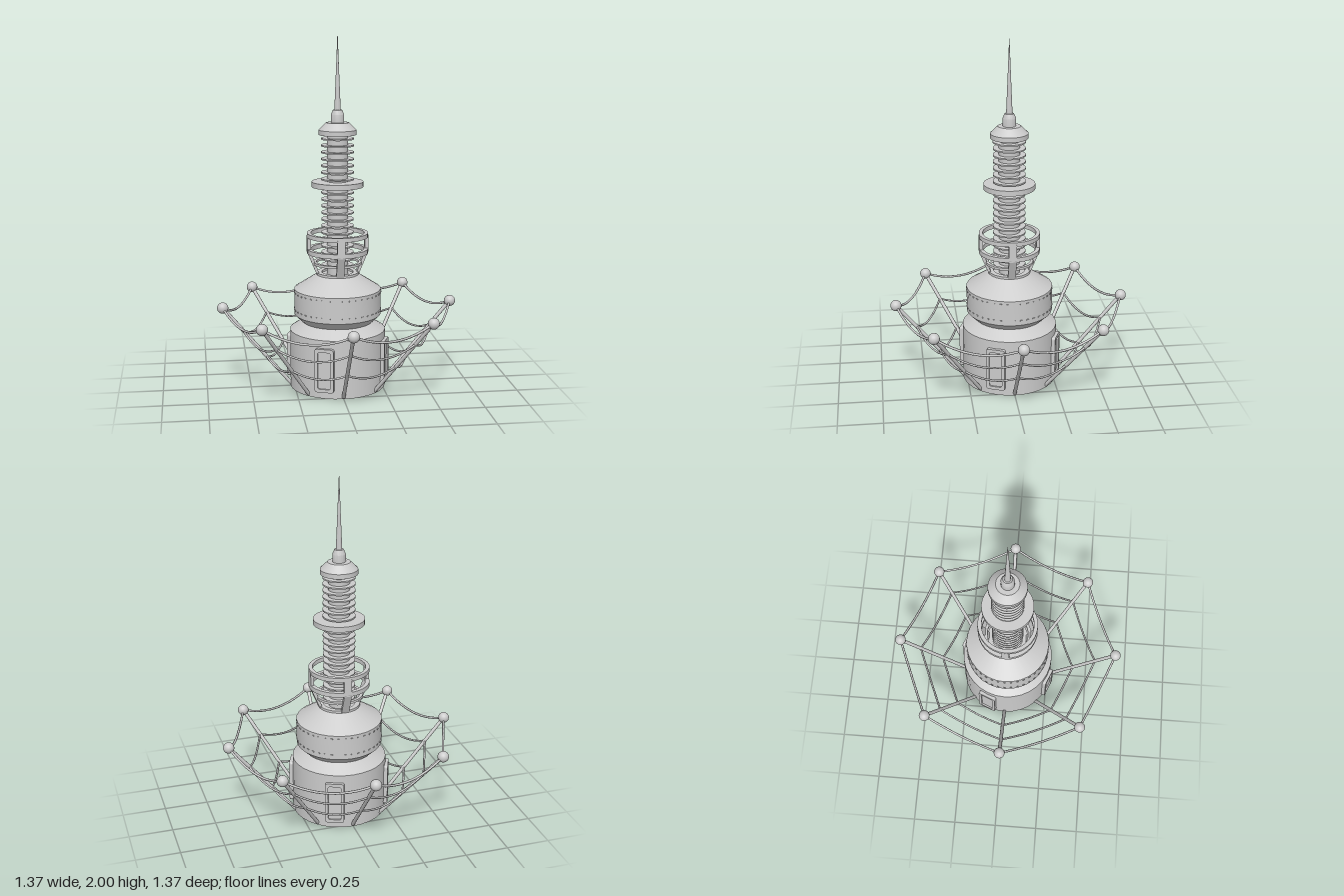
import * as THREE from 'three';
import { toCreasedNormals } from 'three/addons/utils/BufferGeometryUtils.js';

const metal = new THREE.MeshStandardMaterial({ color: 0xcccccc, side: THREE.DoubleSide });

function add(parent, name, geometry, x = 0, y = 0, z = 0) {
  const mesh = new THREE.Mesh(geometry, metal);
  mesh.name = name;
  mesh.position.set(x, y, z);
  parent.add(mesh);
  return mesh;
}

// Turned part from [radius, height] pairs, with hard edges kept sharp
function turned(parent, name, points, sides = 32) {
  const g = new THREE.LatheGeometry(points.map(([r, y]) => new THREE.Vector2(r, y)), sides);
  return add(parent, name, toCreasedNormals(g, 0.4));
}

const polar = (r, y, a) => new THREE.Vector3(r * Math.sin(a), y, r * Math.cos(a));

function roundedRect(path, w, h, r) {
  const x = w / 2, y = h / 2;
  path.moveTo(-x + r, -y);
  path.lineTo(x - r, -y);
  path.quadraticCurveTo(x, -y, x, -y + r);
  path.lineTo(x, y - r);
  path.quadraticCurveTo(x, y, x - r, y);
  path.lineTo(-x + r, y);
  path.quadraticCurveTo(-x, y, -x, y - r);
  path.lineTo(-x, -y + r);
  path.quadraticCurveTo(-x, -y, -x + r, -y);
  return path;
}

// Straight round bar between two points
function bar(parent, name, a, b, radius) {
  return add(parent, name, new THREE.TubeGeometry(new THREE.LineCurve3(a, b), 1, radius, 10));
}

export function createModel() {
  const model = new THREE.Group();
  model.name = 'antennaTower';

  // Base and drum, hollow underneath with a recessed floor
  turned(model, 'base', [[0, 0.1], [0.262, 0.1], [0.262, 0], [0.272, 0], [0.272, 0.335], [0.2, 0.382]]);
  turned(model, 'drum', [[0.2, 0.38], [0.247, 0.425], [0.247, 0.572], [0.118, 0.655], [0, 0.655]]);

  // Two rows of rivets round the drum
  const rivetCount = 40;
  const rivets = new THREE.InstancedMesh(new THREE.BoxGeometry(0.012, 0.006, 0.006), metal, rivetCount * 2);
  rivets.name = 'rivets';
  const pose = new THREE.Object3D();
  for (let i = 0; i < rivetCount * 2; i++) {
    const a = ((i >> 1) / rivetCount) * Math.PI * 2;
    pose.position.copy(polar(0.247, i % 2 ? 0.553 : 0.453, a));
    pose.rotation.y = a;
    pose.updateMatrix();
    rivets.setMatrixAt(i, pose.matrix);
  }
  model.add(rivets);

  // Four framed hatches round the base
  const frame = roundedRect(new THREE.Shape(), 0.108, 0.25, 0.014);
  frame.holes.push(roundedRect(new THREE.Path(), 0.074, 0.212, 0.012));
  const frameGeometry = new THREE.ExtrudeGeometry(frame, { depth: 0.07, bevelEnabled: false, curveSegments: 4 });
  for (let i = 0; i < 4; i++) {
    const hatch = new THREE.Group();
    hatch.name = 'hatch';
    hatch.rotation.y = -Math.PI / 8 + i * Math.PI / 2;
    add(hatch, 'hatchFrame', frameGeometry, 0, 0.165, 0.219);
    add(hatch, 'hatchPanel', new THREE.BoxGeometry(0.076, 0.214, 0.052), 0, 0.165, 0.254);
    model.add(hatch);
  }

  // Finned mast with a wide disc half way up
  add(model, 'mast', new THREE.CylinderGeometry(0.06, 0.06, 0.81, 24), 0, 1.055, 0);
  for (let i = 0; i < 20; i++) {
    add(model, 'fin', new THREE.CylinderGeometry(0.092, 0.092, 0.008, 28), 0, 1.428 - i * 0.038, 0);
  }
  add(model, 'disc', new THREE.CylinderGeometry(0.146, 0.146, 0.03, 32), 0, 1.172, 0);

  // Cage: rings and four bent struts
  const ring = (name, r, y, width, height) => turned(model, name, [
    [r - width, y - height / 2], [r, y - height / 2], [r, y + height / 2],
    [r - width, y + height / 2], [r - width, y - height / 2]]);
  ring('cageTopRing', 0.174, 0.882, 0.022, 0.024);
  ring('cageMiddleRing', 0.174, 0.79, 0.024, 0.026);
  ring('cageLowerRing', 0.138, 0.72, 0.018, 0.014);
  ring('cageFootRing', 0.12, 0.66, 0.03, 0.014);
  const side = new THREE.Shape([[0.104, 0.655], [0.12, 0.655], [0.174, 0.785], [0.174, 0.88], [0.154, 0.88],
    [0.154, 0.79]].map(([x, y]) => new THREE.Vector2(x, y)));
  const strutGeometry = new THREE.ExtrudeGeometry(side, { depth: 0.044, bevelEnabled: false }).translate(0, 0, -0.022);
  for (let i = 0; i < 4; i++) {
    add(model, 'cageStrut', strutGeometry).rotation.y = i * Math.PI / 2;
  }

  // Cap, knob and spire
  turned(model, 'cap', [[0, 1.45], [0.106, 1.45], [0.106, 1.477], [0.064, 1.518], [0, 1.518]]);
  turned(model, 'knob', [[0.037, 1.515], [0.037, 1.562], [0.026, 1.588], [0, 1.588]], 20);
  turned(model, 'spire', [[0.018, 1.585], [0.009, 1.8], [0.001, 2]], 12);

  // Eight outriggers with ball tips
  const arms = 8;
  const onArm = (r, i) => polar(r, 0.01 + (r - 0.265) * 1.19, i * Math.PI * 2 / arms);
  for (let i = 0; i < arms; i++) {
    bar(model, 'outrigger', onArm(0.265, i), onArm(0.655, i), 0.0105);
    const tip = onArm(0.655, i);
    add(model, 'ballTip', new THREE.SphereGeometry(0.032, 20, 14), tip.x, tip.y, tip.z);

    // Sagging wires to the next arm: [radius, sag, thickness]
    for (const [r, sag, thickness] of [[0.655, 0.062, 0.007], [0.54, 0.052, 0.006], [0.41, 0.036, 0.006]]) {
      const a = onArm(r, i), b = onArm(r, i + 1);
      const middle = a.clone().add(b).multiplyScalar(0.5);
      middle.y -= sag * 2;
      add(model, 'wire', new THREE.TubeGeometry(new THREE.QuadraticBezierCurve3(a, middle, b), 14, thickness, 6));
    }
  }
  return model;
}
